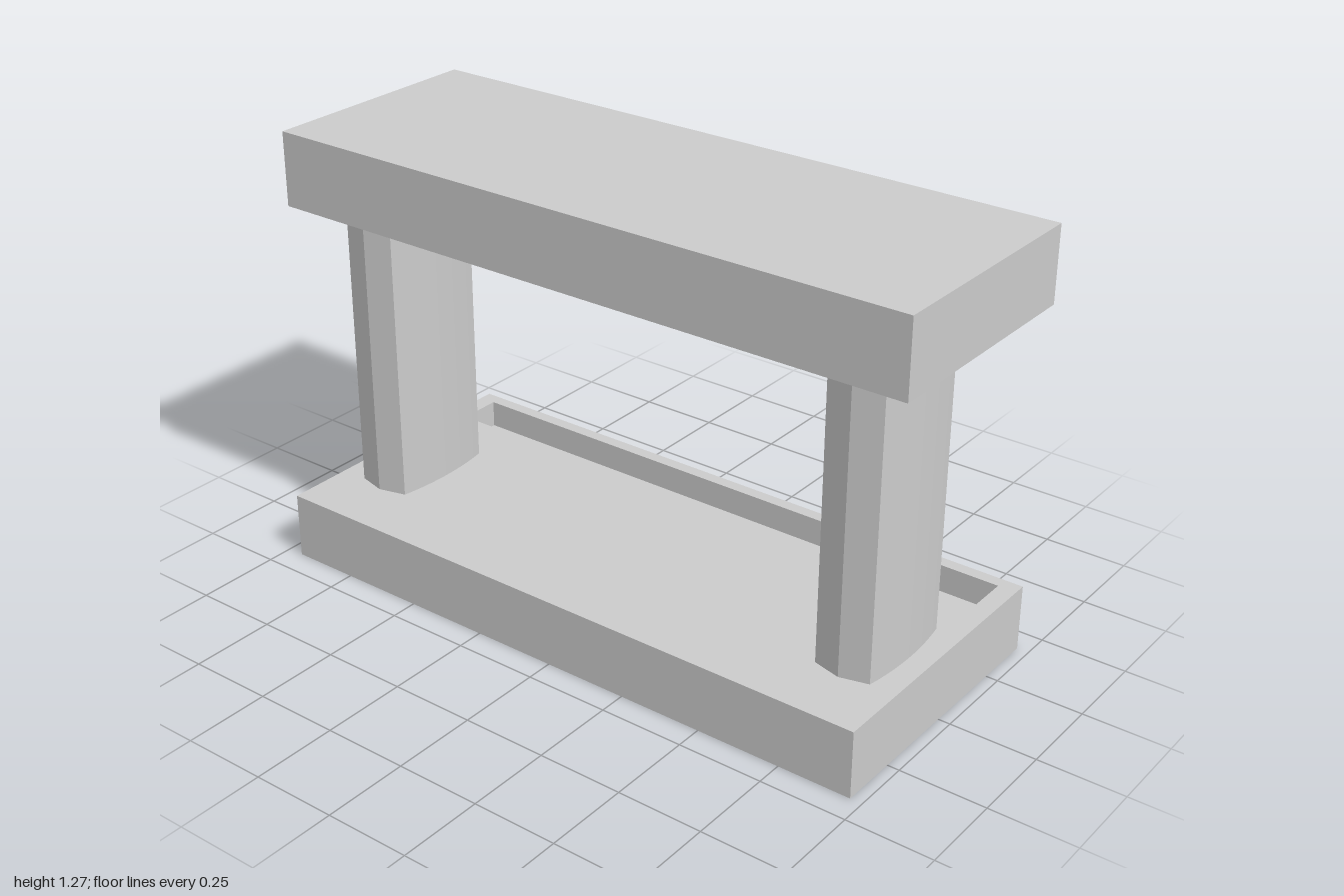
import * as THREE from 'three';

const material = new THREE.MeshStandardMaterial({ color: 0xcccccc, flatShading: true });

function addMesh(parent, geometry, name, x = 0, y = 0, z = 0) {
  const mesh = new THREE.Mesh(geometry, material);
  mesh.name = name;
  mesh.position.set(x, y, z);
  parent.add(mesh);
  return mesh;
}

// Extrudes a plan outline (x, z) upward by height
function extrudeUp(shape, height) {
  const geometry = new THREE.ExtrudeGeometry(shape, { depth: height, bevelEnabled: false, curveSegments: 10 });
  return geometry.rotateX(-Math.PI / 2);
}

// Rectangle in plan; shape y is -z
function traceRect(path, x0, x1, z0, z1) {
  path.moveTo(x0, -z1);
  path.lineTo(x1, -z1);
  path.lineTo(x1, -z0);
  path.lineTo(x0, -z0);
  path.closePath();
  return path;
}

// Base slab with a long shallow tray sunk in its left margin
function createBase() {
  const base = new THREE.Group();
  base.name = 'base';
  const floorY = 0.115, topY = 0.197;
  const x0 = -0.422, x1 = 0.422, z0 = -0.95, z1 = 0.965;
  addMesh(base, extrudeUp(traceRect(new THREE.Shape(), x0, x1, z0, z1), floorY), 'baseSlab');
  const rim = traceRect(new THREE.Shape(), x0, x1, z0, z1);
  rim.holes.push(traceRect(new THREE.Path(), 0.255, 0.385, -0.9, 0.91));
  addMesh(base, extrudeUp(rim, topY - floorY), 'baseTrayRim', 0, floorY);
  return base;
}

// Pillar plan: bowed front and back, shallow pointed sides
function createPillarGeometry(height) {
  const hx = 0.162, hz = 0.082;
  const shape = new THREE.Shape();
  shape.moveTo(-hx, -hz);
  shape.quadraticCurveTo(0, -hz - 0.03, hx, -hz);
  shape.lineTo(hx + 0.021, 0);
  shape.lineTo(hx, hz);
  shape.quadraticCurveTo(0, hz + 0.03, -hx, hz);
  shape.lineTo(-hx - 0.021, 0);
  shape.closePath();
  return extrudeUp(shape, height);
}

export function createModel() {
  const model = new THREE.Group();
  model.name = 'pillarStand';
  model.add(createBase());

  const pillar = createPillarGeometry(0.87);
  addMesh(model, pillar, 'frontPillar', -0.063, 0.19, 0.805);
  addMesh(model, pillar, 'backPillar', -0.063, 0.19, -0.788);

  // Top beam
  addMesh(model, new THREE.BoxGeometry(0.695, 0.218, 2), 'topBeam', 0.0275, 1.164, 0);
  return model;
}
